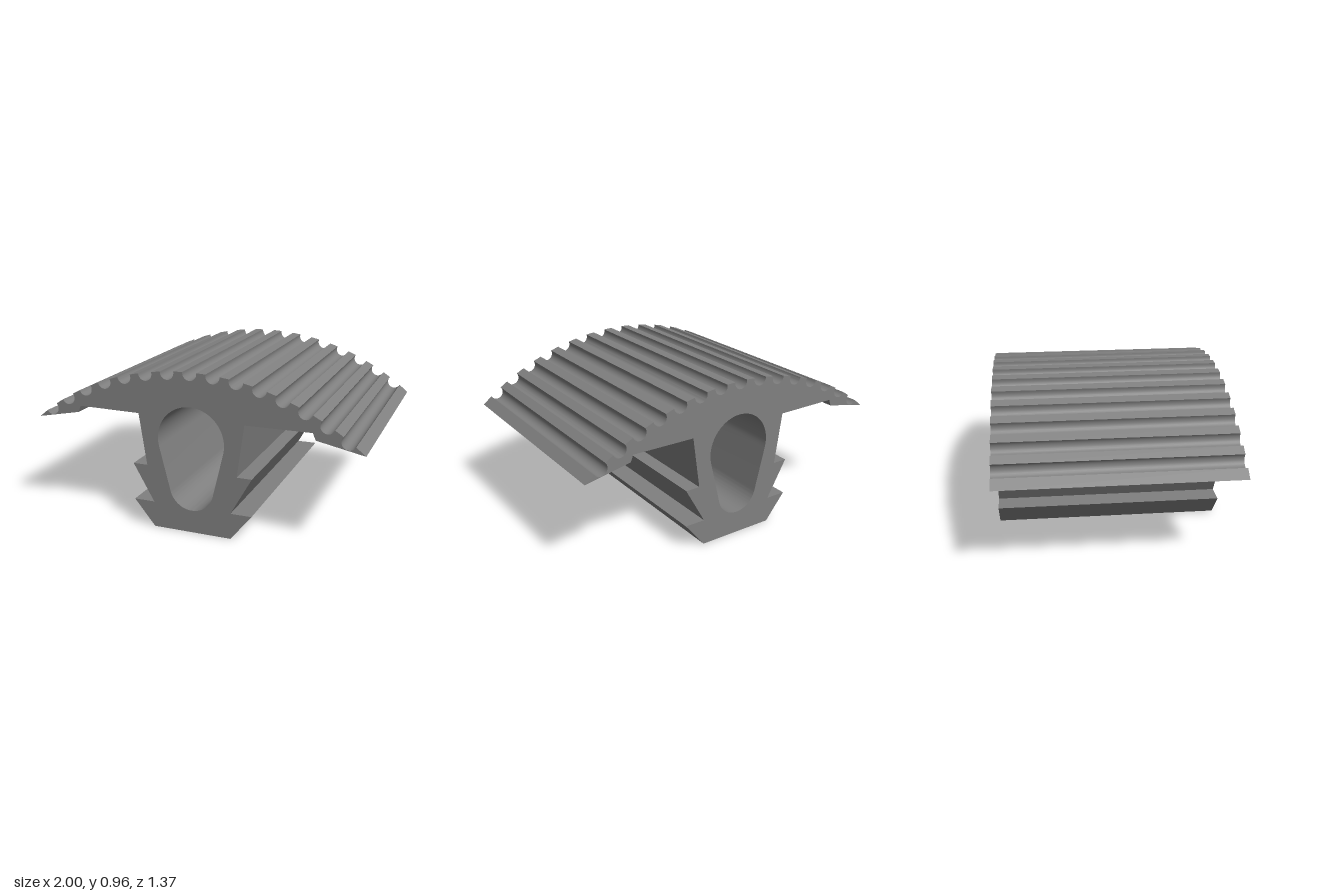
import * as THREE from 'three';
import { toCreasedNormals } from 'three/addons/utils/BufferGeometryUtils.js';

const DEPTH = 1.37;
const ARC_RADIUS = 1.569, ARC_CENTRE_Y = -0.604; // crown curve
const GROOVE_STEP = 0.0885, GROOVE_RADIUS = 0.042, GROOVE_SINK = 0.006;

// Points of one round groove, cut at angle a from vertical, running right to left
function groovePoints(a) {
  const r = ARC_RADIUS - GROOVE_SINK;
  const cx = r * Math.sin(a), cy = ARC_CENTRE_Y + r * Math.cos(a);
  const start = Math.asin(GROOVE_SINK / GROOVE_RADIUS);
  const sweep = Math.PI + 2 * start;
  const steps = 14;
  const points = [];
  for (let i = 0; i <= steps; i++) {
    const t = start - (sweep * i) / steps - a;
    points.push(new THREE.Vector2(cx + GROOVE_RADIUS * Math.cos(t), cy + GROOVE_RADIUS * Math.sin(t)));
  }
  return points;
}

// Half outline of the barbed stem and the wing underside, from base to wing tip
const half = [
  [0.242, 0], [0.37, 0.158], [0.242, 0.158], [0.37, 0.385], [0.28, 0.385],
  [0.325, 0.697], [0.711, 0.7], [0.727, 0.66], [1, 0.605],
];

function profile() {
  const right = half.map(([x, y]) => new THREE.Vector2(x, y));
  const left = half.map(([x, y]) => new THREE.Vector2(-x, y)).reverse();
  const crown = [];
  for (let i = 7; i >= -7; i--) crown.push(...groovePoints(i * GROOVE_STEP));
  const shape = new THREE.Shape([...right, ...crown, ...left]);

  // Teardrop channel: two arcs joined by tangent lines
  const top = { y: 0.56, r: 0.205 }, bottom = { y: 0.275, r: 0.137 };
  const tilt = Math.asin((top.r - bottom.r) / (top.y - bottom.y));
  const hole = new THREE.Path();
  hole.absarc(0, top.y, top.r, -tilt, Math.PI + tilt, false);
  hole.absarc(0, bottom.y, bottom.r, Math.PI + tilt, 2 * Math.PI - tilt, false);
  hole.closePath();
  shape.holes.push(hole);
  return shape;
}

export function createModel() {
  const group = new THREE.Group();
  group.name = 'ribbedSealStrip';

  const rubber = new THREE.MeshStandardMaterial({ color: 0x808080 });
  rubber.name = 'grey rubber';

  // Whole strip extruded along z
  const extruded = new THREE.ExtrudeGeometry(profile(), { depth: DEPTH, bevelEnabled: false, curveSegments: 24 });
  extruded.translate(0, 0, -DEPTH / 2);
  const geometry = toCreasedNormals(extruded, 0.4);
  geometry.clearGroups();

  const strip = new THREE.Mesh(geometry, rubber);
  strip.name = 'extrudedStrip';
  group.add(strip);
  return group;
}
